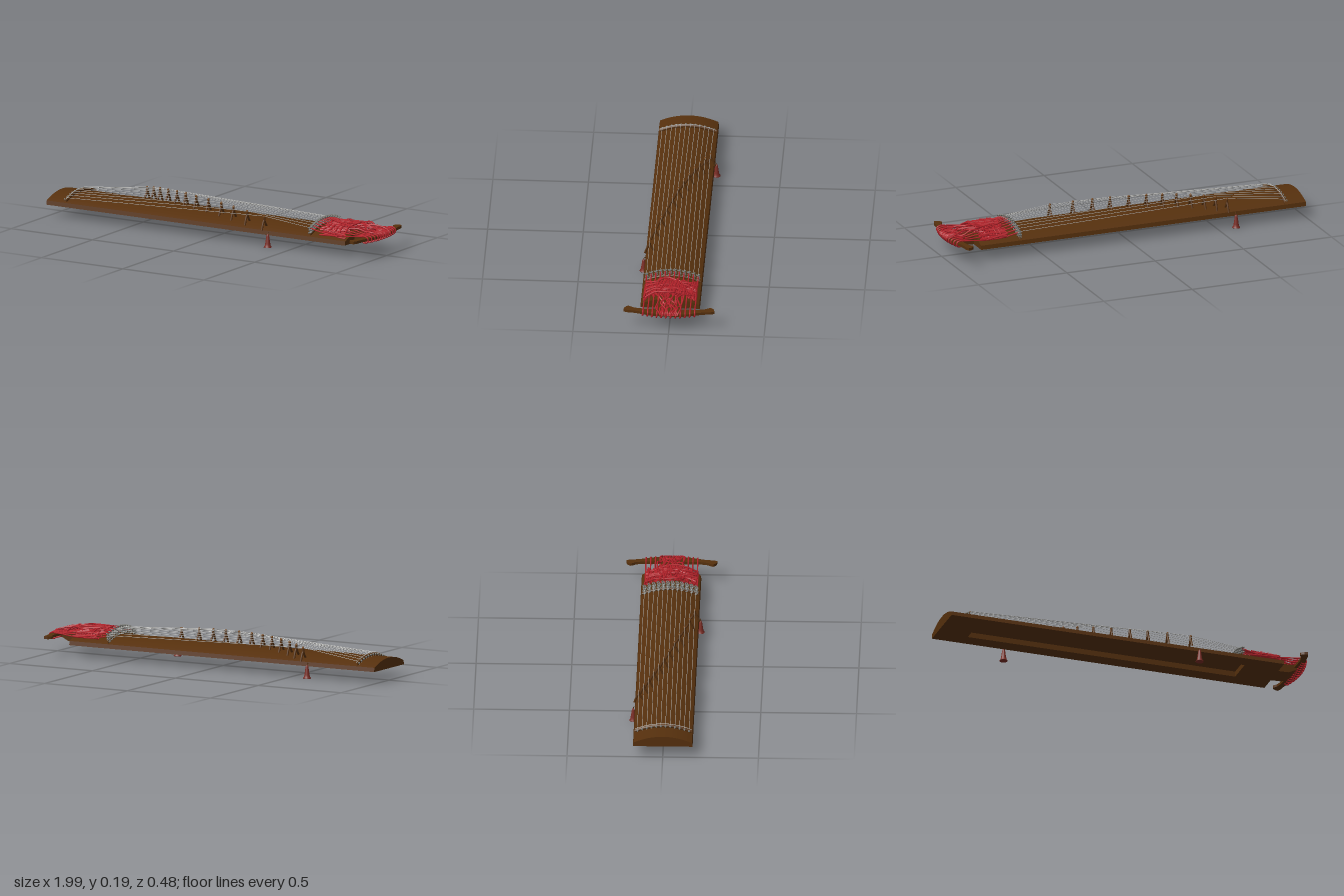
import * as THREE from 'three';

export function createModel() {
  const root = new THREE.Group();
  const mat = (name, color) => {
    const m = new THREE.MeshStandardMaterial({ color });
    m.name = name;
    return m;
  };
  const wood = mat('brown wood', 0x56300d);
  const bridgeWood = mat('bridge wood', 0x55300f);
  const capWood = mat('bridge cap wood', 0x6e4015);
  const silk = mat('string grey', 0xb2b2b0);
  const knotGrey = mat('knot grey', 0x787872);
  const red = mat('red cord', 0xb4222a);
  const legRed = mat('red brown', 0x7a2c24);

  let seed = 7;
  const rnd = () => (seed = (seed * 16807) % 2147483647) / 2147483647;
  const V = (x, y, z) => new THREE.Vector3(x, y, z);
  const add = (name, geo, m, parent = root) => {
    const mesh = new THREE.Mesh(geo, m);
    mesh.name = name;
    parent.add(mesh);
    return mesh;
  };
  const group = (name) => {
    const g = new THREE.Group();
    g.name = name;
    root.add(g);
    return g;
  };
  const tube = (name, pts, r, m, parent, steps = 40, sides = 6) =>
    add(name, new THREE.TubeGeometry(new THREE.CatmullRomCurve3(pts), steps, r, sides), m, parent);

  // Height of the arched soundboard across its width
  const topY = (z) => 0.085 + 0.035 * (1 - Math.min(1, (z / 0.152) ** 2));

  // Body: arched section along x, with a long hollow in the underside
  const body = group('body');
  const section = (hollow) => {
    const s = new THREE.Shape();
    s.moveTo(-0.156, 0.063);
    if (hollow) {
      s.lineTo(-0.075, 0.063);
      s.lineTo(-0.075, 0.092);
      s.lineTo(0.075, 0.092);
      s.lineTo(0.075, 0.063);
    }
    s.lineTo(0.156, 0.063);
    for (let i = 0; i <= 24; i++) {
      const z = 0.152 - (0.304 * i) / 24;
      s.lineTo(z, topY(z));
    }
    return s;
  };
  [['headBlock', -1, -0.83, false], ['soundbox', -0.83, 0.65, true], ['tailBlock', 0.65, 0.84, false]].forEach(([n, a, b, h]) => {
    const g = new THREE.ExtrudeGeometry(section(h), { depth: b - a, bevelEnabled: false });
    g.rotateY(Math.PI / 2).translate(a, 0, 0);
    add(n, g, wood, body);
  });

  // Tail tongue with a sloping underside
  const tongue = new THREE.Shape([[0.83, 0.065], [0.9, 0.067], [0.955, 0.095], [0.955, 0.112], [0.83, 0.112]]
    .map(([x, y]) => new THREE.Vector2(x, y)));
  add('tailTongue', new THREE.ExtrudeGeometry(tongue, { depth: 0.12, bevelEnabled: false }).translate(0, 0, -0.06), wood);

  // Crescent horn tailpiece, drawn in plan and mirrored across z
  const outer = [[0.985, 0], [0.98, 0.09], [0.966, 0.14], [0.956, 0.18], [0.952, 0.215], [0.944, 0.238]];
  const inner = [[0.925, 0.234], [0.908, 0.215], [0.924, 0.185], [0.931, 0.14], [0.93, 0.085], [0.928, 0]];
  const spline = (p) => new THREE.SplineCurve(p.map(([x, z]) => new THREE.Vector2(x, z))).getPoints(20);
  const half = [...spline(outer), ...spline(inner)];
  const mirrored = half.slice(1, -1).reverse().map((p) => new THREE.Vector2(p.x, -p.y));
  const hornShape = new THREE.Shape([...half, ...mirrored]);
  const horn = new THREE.ExtrudeGeometry(hornShape, { depth: 0.014, bevelEnabled: false });
  add('hornTailpiece', horn.rotateX(Math.PI / 2).translate(0, 0.112, 0), wood);

  // Fixed nut: low arched rail near the head, with a pale thread along it
  const arch = (x, lift) => Array.from({ length: 13 }, (_, i) => {
    const z = -0.148 + (0.296 * i) / 12;
    return V(x, topY(z) + lift, z);
  });
  tube('nut', arch(-0.888, 0.006), 0.009, wood, root, 30, 8);
  tube('nutThread', arch(-0.886, 0.0155), 0.002, silk, root, 30, 5);

  // Strings, movable bridges and end knots
  const strings = group('strings');
  const bridges = group('movableBridges');
  const knots = group('stringKnots');
  const bridgeX = [0.33, 0.21, 0.11, 0.02, -0.075, -0.165, -0.245, -0.315, -0.385, -0.45, -0.505, -0.56];
  const stringZ = (i) => 0.135 - (0.27 * i) / 11;
  const line = (a, b, parent) =>
    add('string', new THREE.TubeGeometry(new THREE.LineCurve3(a, b), 1, 0.0014, 5), silk, parent);
  const capGeo = new THREE.SphereGeometry(0.0065, 10, 8).scale(1, 1.3, 1);
  const nutKnotGeo = new THREE.SphereGeometry(0.006, 8, 6);
  const coilGeo = new THREE.TorusGeometry(0.007, 0.0034, 6, 12);
  bridgeX.forEach((bx, i) => {
    const z = stringZ(i), y = topY(z);
    const nut = V(-0.888, y + 0.017, z), top = V(bx, y + 0.064, z), end = V(0.612, y + 0.036, z);
    line(nut, top, strings);
    line(top, end, strings);
    line(V(-0.9, y, z), nut, strings);
    // Splayed legs meeting under a rounded cap
    const foot = (s) => {
      const fz = z + 0.024 * s;
      return V(bx, topY(fz), fz);
    };
    tube('bridgeLegs', [foot(-1), V(bx, y + 0.022, z - 0.013), V(bx, y + 0.042, z),
      V(bx, y + 0.022, z + 0.013), foot(1)], 0.0055, bridgeWood, bridges, 20, 8);
    add('bridgeNeck', new THREE.CylinderGeometry(0.0055, 0.007, 0.022, 10), bridgeWood, bridges).position.set(bx, y + 0.049, z);
    add('bridgeCap', capGeo, capWood, bridges).position.set(bx, y + 0.06, z);
    add('nutKnot', nutKnotGeo, knotGrey, knots).position.set(-0.898, y + 0.008, z);
    // Stacked coils where the string meets its cord
    for (let k = 0; k < 6; k++) {
      const c = add('coil', coilGeo, knotGrey, knots);
      c.position.set(0.612 + 0.007 * (k % 2), y + 0.007 + k * 0.007, z + 0.003 * Math.sin(k * 2));
      c.rotation.set(Math.PI / 2 + 0.5 * (k % 2 ? 1 : -1), 0.3, 0);
    }
  });
  tube('endRail', arch(0.616, 0.004), 0.007, wood, root, 40, 8);

  // Red cords: straight leads, tangle over the tail, loops wrapped around the horns
  const cords = group('redCords');
  for (let i = 0; i < 12; i++) {
    const z = stringZ(i), y = topY(z);
    tube('leadCord', [V(0.615, y + 0.034, z), V(0.66, y + 0.024, z), V(0.72, y + 0.014, z + 0.01 * (rnd() - 0.5)),
      V(0.83, y + 0.016, z), V(0.9, 0.116, z), V(0.942, 0.119, z)], 0.0036, red, cords);
    const xo = 0.985 - 1.1 * z * z;
    tube('wrapLoop', [V(0.925, 0.12, z), V(0.95, 0.121, z), V(xo + 0.002, 0.114, z), V(xo + 0.004, 0.098, z),
      V(xo - 0.006, 0.088, z + 0.004), V(0.94, 0.09, z + 0.006)], 0.0042, red, cords, 24);
  }
  // Long loose loops swinging back and forth over the tail
  for (let i = 0; i < 24; i++) {
    const z0 = -0.13 + (0.26 * i) / 23, pts = [];
    for (let k = 0; k < 6; k++) {
      const z = Math.max(-0.138, Math.min(0.138, z0 + 0.1 * (rnd() - 0.5)));
      const x = k % 2 ? 0.8 + 0.035 * rnd() : 0.665 + 0.05 * rnd();
      pts.push(V(x, topY(z) + 0.006 + 0.028 * rnd(), z));
    }
    tube('tangledCord', pts, 0.0042, red, cords, 70);
  }
  // Sweeping cords laid crosswise over the tangle
  for (let i = 0; i < 8; i++) {
    const x = 0.69 + 0.018 * i, pts = [];
    for (let k = 0; k <= 5; k++) {
      const z = -0.13 + (0.26 * k) / 5;
      pts.push(V(x + 0.04 * (rnd() - 0.5), topY(z) + 0.02 + 0.016 * rnd(), z));
    }
    tube('crossCord', pts, 0.0044, red, cords, 50);
  }
  // Bundle heaped on the tongue
  for (let i = 0; i < 12; i++) {
    const z = -0.055 + (0.11 * i) / 11;
    tube('tongueCord', [V(0.8, topY(z) + 0.022, z * 1.6), V(0.86, 0.124 + 0.026 * rnd(), z + 0.06 * (rnd() - 0.5)),
      V(0.91, 0.118 + 0.026 * rnd(), z + 0.07 * (rnd() - 0.5)), V(0.95, 0.118 + 0.012 * rnd(), z + 0.03 * (rnd() - 0.5)),
      V(0.982, 0.118, z * 0.9), V(0.989, 0.106, z * 0.8)], 0.0042, red, cords, 36);
  }

  // Two small flared feet tied to opposite edges
  const footProfile = [[0, 0], [0.021, 0], [0.0205, 0.003], [0.016, 0.008], [0.0135, 0.02], [0.0075, 0.06], [0.0045, 0.069], [0, 0.071]];
  const footGeo = new THREE.LatheGeometry(footProfile.map(([r, y]) => new THREE.Vector2(r, y)), 20);
  [[-0.6, -1], [0.37, 1]].forEach(([x, s]) => {
    add('foot', footGeo, legRed).position.set(x, 0, 0.164 * s);
    tube('footTie', [V(x, 0.068, 0.164 * s), V(x, 0.08, 0.16 * s), V(x, 0.078, 0.15 * s)], 0.002, bridgeWood, root, 10, 5);
  });

  return root;
}
